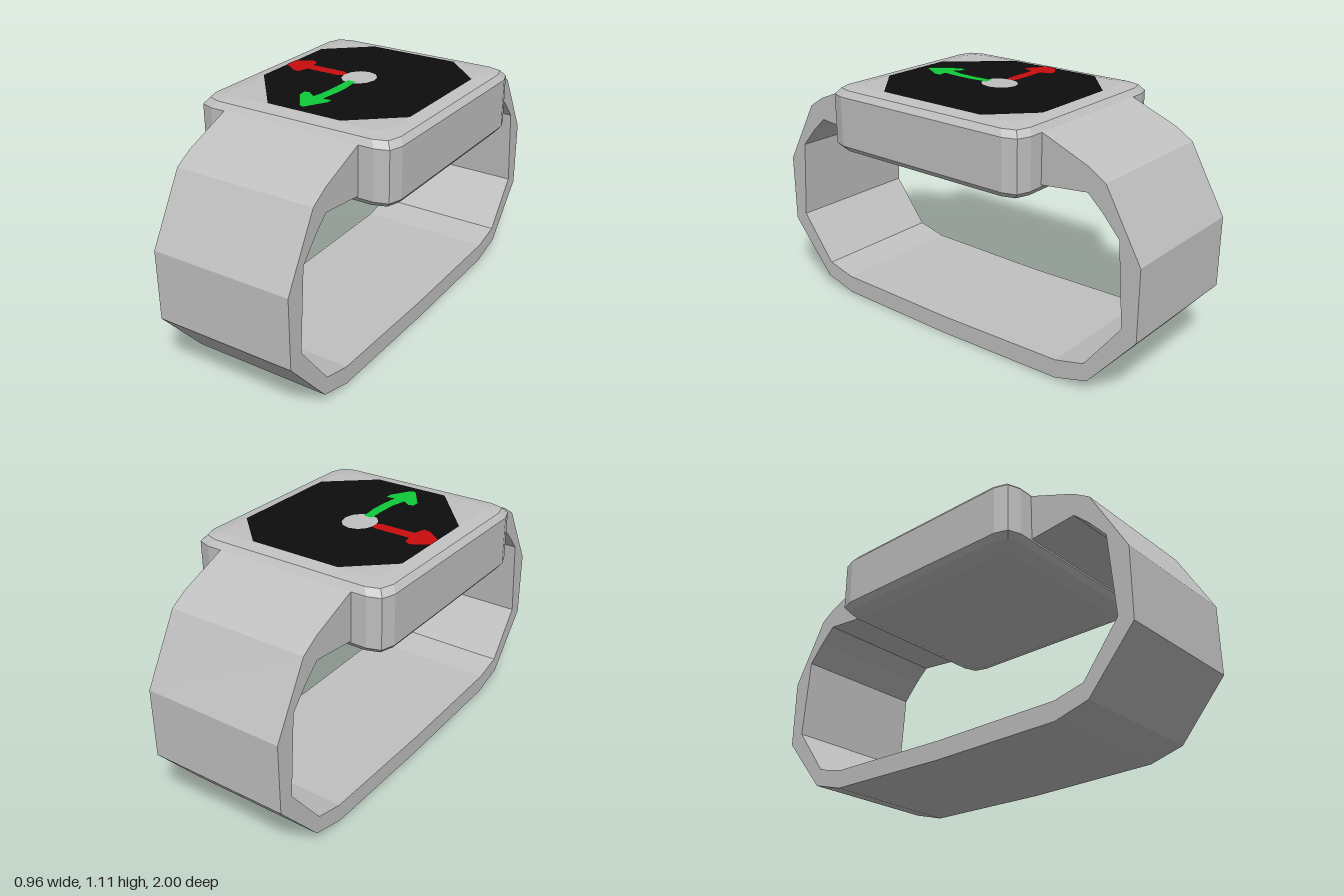
import * as THREE from 'three';

const mat = (name, color) => {
  const m = new THREE.MeshStandardMaterial({ color });
  m.name = name;
  return m;
};

// Rounded-rectangle outline with two-facet corners, inset by d
function caseRing(y, d) {
  const sx = 0.48 - d, sz = 0.53 - d;
  const corner = [[0.08, 0], [0.02, 0.02], [0, 0.08]]; // offsets from the (x, z) corner
  const ring = [];
  for (const [qx, qz] of [[1, 1], [1, -1], [-1, -1], [-1, 1]]) {
    const pts = corner.map(([a, b]) => new THREE.Vector3(qx * (sx - a), y, qz * (sz - b)));
    ring.push(...(qx * qz > 0 ? pts : pts.reverse()));
  }
  return ring; // counter-clockwise seen from above
}

// Faceted skin over stacked rings, capped at both ends
function loft(rings) {
  const tris = [];
  const n = rings[0].length;
  for (let r = 0; r < rings.length - 1; r++) {
    for (let i = 0; i < n; i++) {
      const j = (i + 1) % n;
      const a = rings[r][i], b = rings[r][j], c = rings[r + 1][j], d = rings[r + 1][i];
      tris.push(a, b, c, a, c, d);
    }
  }
  const low = rings[0], high = rings[rings.length - 1];
  for (let i = 1; i < n - 1; i++) {
    tris.push(low[0], low[i + 1], low[i]);
    tris.push(high[0], high[i], high[i + 1]);
  }
  const g = new THREE.BufferGeometry().setFromPoints(tris);
  g.computeVertexNormals();
  return g;
}

// Flat face lying on the dial, outlined by (x, z) points
function plate(name, points, y, material) {
  const shape = new THREE.Shape(points.map(([x, z]) => new THREE.Vector2(x, -z)));
  const mesh = new THREE.Mesh(new THREE.ShapeGeometry(shape).rotateX(-Math.PI / 2), material);
  mesh.name = name;
  mesh.position.y = y;
  return mesh;
}

export function createModel() {
  const silver = mat('silver', 0xc0c0c0);
  const black = mat('dial black', 0x0d0d0d);
  const red = mat('hand red', 0xc80d0d);
  const green = mat('hand green', 0x10c838);
  const watch = new THREE.Group();
  watch.name = 'watch';

  // Case with bevelled top and bottom
  const levels = [[0.795, 0.08], [0.82, 0.02], [0.845, 0], [1.07, 0], [1.097, 0.022], [1.107, 0.08]];
  const body = new THREE.Mesh(loft(levels.map(([y, d]) => caseRing(y, d))), silver);
  body.name = 'case';
  watch.add(body);

  // Strap: side profile (z, y), mirrored front to back, open where it meets the case
  const outer = [[0.5, 1.07], [0.53, 1.07], [0.75, 0.98], [0.83, 0.93], [1, 0.63], [1, 0.31], [0.78, 0.055], [0.62, 0.01], [0, 0.0]];
  const inner = [[0.5, 0.85], [0.75, 0.875], [0.82, 0.81], [0.9, 0.72], [0.93, 0.35], [0.76, 0.13], [0.62, 0.095], [0, 0.085]];
  const mirrored = (half) => [...half, ...half.slice(0, -1).reverse().map(([z, y]) => [-z, y])];
  const profile = [...mirrored(outer), ...mirrored(inner).reverse()];
  const strapShape = new THREE.Shape(profile.map(([z, y]) => new THREE.Vector2(z, y)));
  const strapGeo = new THREE.ExtrudeGeometry(strapShape, { depth: 0.66, bevelEnabled: false });
  strapGeo.translate(0, 0, -0.33).rotateY(-Math.PI / 2);
  const strap = new THREE.Mesh(strapGeo, silver);
  strap.name = 'strap';
  watch.add(strap);

  // Dial and hands
  watch.add(plate('dial', [[-0.21, -0.45], [0.22, -0.45], [0.4, -0.28], [0.4, 0.26],
    [0.19, 0.44], [-0.17, 0.44], [-0.4, 0.17], [-0.4, -0.28]], 1.109, black));
  watch.add(plate('redHand', [[-0.1, -0.045], [-0.12, -0.057], [-0.29, -0.057], [-0.3, -0.1], [-0.33, -0.11],
    [-0.4, -0.065], [-0.4, -0.005], [-0.33, 0.045], [-0.3, 0.05], [-0.285, -0.002], [-0.12, -0.002], [-0.1, -0.012]], 1.111, red));
  watch.add(plate('greenHand', [[-0.045, 0.03], [-0.005, 0.03], [0.005, 0.12], [0.003, 0.2], [-0.005, 0.275],
    [0.035, 0.27], [0.037, 0.3], [-0.015, 0.39], [-0.03, 0.4], [-0.05, 0.385], [-0.12, 0.285], [-0.12, 0.25],
    [-0.095, 0.245], [-0.06, 0.27], [-0.045, 0.2], [-0.042, 0.12]], 1.111, green));

  // Centre hub
  const hub = [];
  for (let i = 0; i < 12; i++) {
    const a = (i / 12) * Math.PI * 2;
    hub.push([-0.025 + 0.077 * Math.cos(a), -0.03 + 0.085 * Math.sin(a)]);
  }
  watch.add(plate('hub', hub, 1.11, silver));
  return watch;
}
